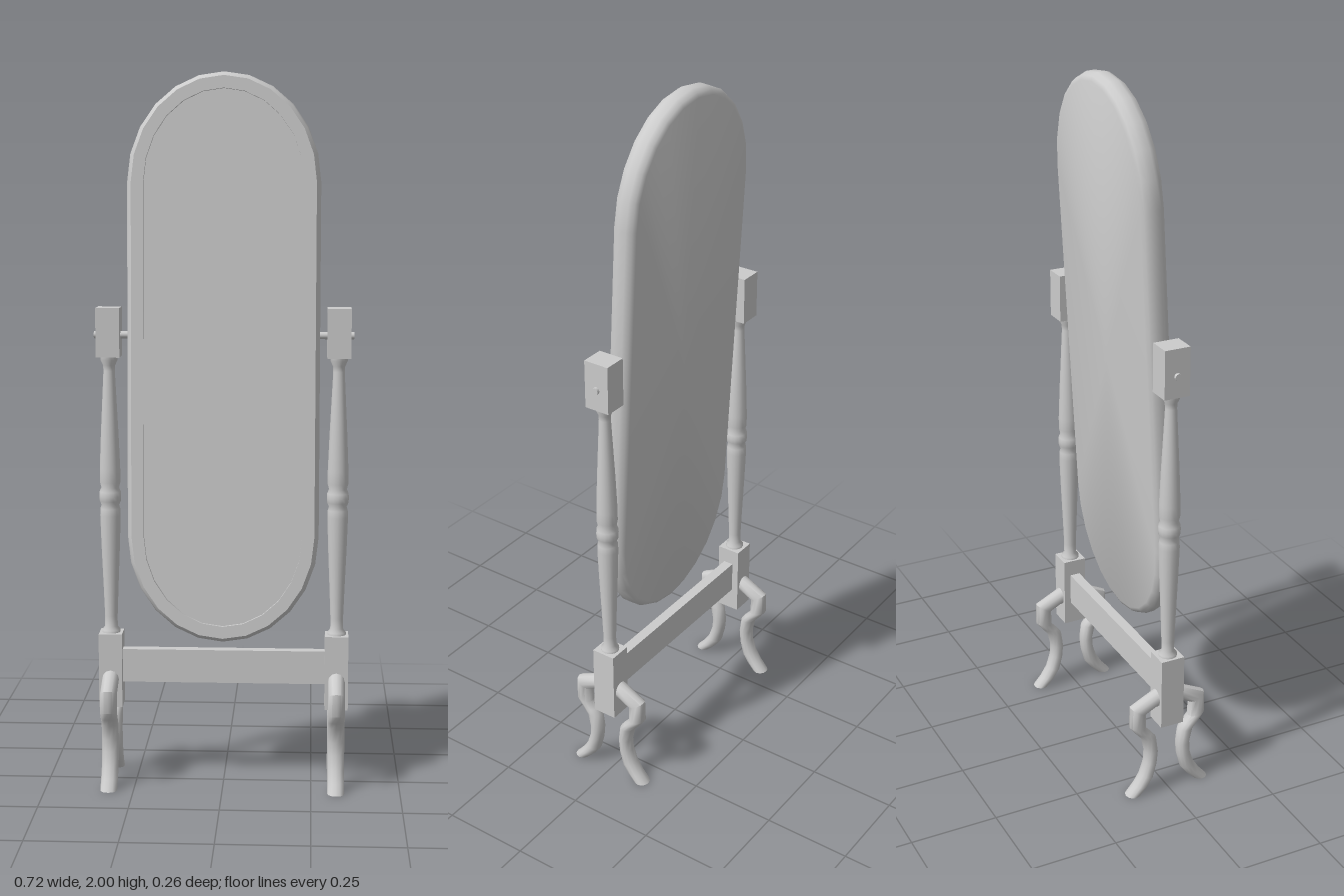
import * as THREE from 'three';
import { toCreasedNormals } from 'three/addons/utils/BufferGeometryUtils.js';

const material = new THREE.MeshStandardMaterial({ color: 0xcccccc });

function part(name, geometry, parent, x = 0, y = 0, z = 0) {
  const mesh = new THREE.Mesh(geometry, material);
  mesh.name = name;
  mesh.position.set(x, y, z);
  parent.add(mesh);
  return mesh;
}

// Skin a series of closed rings, with optional flat end caps
function loft(rings, capStart, capEnd, crease) {
  const n = rings[0].length;
  const pos = [];
  const tri = (...pts) => pts.forEach((p) => pos.push(p.x, p.y, p.z));
  const cap = (ring, flip) => {
    const c = new THREE.Vector3();
    ring.forEach((p) => c.addScaledVector(p, 1 / n));
    ring.forEach((p, i) => {
      const q = ring[(i + 1) % n];
      if (flip) tri(c, q, p);
      else tri(c, p, q);
    });
  };
  for (let r = 0; r < rings.length - 1; r++) {
    for (let i = 0; i < n; i++) {
      const j = (i + 1) % n;
      const a = rings[r], b = rings[r + 1];
      tri(a[i], a[j], b[j]);
      tri(a[i], b[j], b[i]);
    }
  }
  if (capStart) cap(rings[0], true);
  if (capEnd) cap(rings[rings.length - 1], false);
  const geometry = new THREE.BufferGeometry();
  geometry.setAttribute('position', new THREE.Float32BufferAttribute(pos, 3));
  return toCreasedNormals(geometry, crease);
}

// Long oval outline, drawn inward by an inset
function ovalOutline(inset) {
  const a = 0.267 - inset, b = 0.3 - inset, straight = 0.49, steps = 12;
  const pts = [];
  for (const side of [1, -1]) {
    for (let i = 0; i <= steps; i++) {
      const t = (i / steps) * Math.PI;
      pts.push(new THREE.Vector2(side * a * Math.cos(t), side * (straight + b * Math.sin(t))));
    }
  }
  return pts;
}

function createMirror() {
  const mirror = new THREE.Group();
  mirror.name = 'tiltingMirror';
  // Frame section as [inset, depth], from the back panel round to the glass rebate
  const section = [[0.02, -0.032], [0.008, -0.026], [0, -0.012], [0, 0.012], [0.004, 0.022], [0.012, 0.032], [0.046, 0.032], [0.046, 0.021]];
  const rings = section.map(([inset, z]) => ovalOutline(inset).map((p) => new THREE.Vector3(p.x, p.y, z)));
  part('mirrorFrame', loft(rings, true, false, 0.7), mirror);
  part('mirrorGlass', new THREE.ShapeGeometry(new THREE.Shape(ovalOutline(0.046))), mirror, 0, 0, 0.021);
  mirror.position.set(0, 1.21, 0.001);
  mirror.rotation.x = -0.054;
  return mirror;
}

// Curved leg: outer and inner edge points [z, y] down its length
function legGeometry() {
  const stations = [
    [0.02, 0.334, 0.02, 0.275],
    [0.04, 0.326, 0.04, 0.277],
    [0.115, 0.289, 0.07, 0.262],
    [0.117, 0.225, 0.068, 0.215],
    [0.098, 0.2, 0.05, 0.195],
    [0.08, 0.178, 0.037, 0.178],
    [0.07, 0.135, 0.031, 0.13],
    [0.072, 0.1, 0.035, 0.09],
    [0.085, 0.06, 0.046, 0.047],
    [0.105, 0.028, 0.064, 0.022],
    [0.129, 0, 0.085, 0],
  ];
  const rings = stations.map(([oz, oy, iz, iy]) => {
    const ring = [];
    for (let i = 0; i < 12; i++) {
      const t = (i / 12) * Math.PI * 2;
      const s = (Math.sin(t) + 1) / 2;
      ring.push(new THREE.Vector3(0.024 * Math.cos(t), iy + (oy - iy) * s, iz + (oz - iz) * s));
    }
    return ring;
  });
  return loft(rings, true, true, 0.8);
}

// Turned spindle between the two square blocks, as [radius, y]
function spindleGeometry() {
  const profile = [
    [0.026, 0.43], [0.026, 0.44], [0.018, 0.45], [0.018, 0.48], [0.021, 0.56], [0.026, 0.68], [0.029, 0.77],
    [0.028, 0.79], [0.025, 0.8], [0.03, 0.812], [0.031, 0.825], [0.03, 0.838], [0.025, 0.85],
    [0.029, 0.865], [0.029, 0.9], [0.025, 1.0], [0.02, 1.1], [0.016, 1.18], [0.017, 1.195], [0.024, 1.21], [0.024, 1.225],
  ];
  return new THREE.LatheGeometry(profile.map(([r, y]) => new THREE.Vector2(r, y)), 16);
}

export function createModel() {
  const model = new THREE.Group();
  model.name = 'chevalMirror';
  model.add(createMirror());

  const spindle = spindleGeometry();
  const leg = legGeometry();
  const pin = new THREE.CylinderGeometry(0.01, 0.01, 0.11, 12).rotateZ(Math.PI / 2);

  // Matching stand on each side
  for (const side of [1, -1]) {
    const stand = new THREE.Group();
    stand.name = side > 0 ? 'leftStand' : 'rightStand';
    stand.position.x = side * 0.32;
    part('topBlock', new THREE.BoxGeometry(0.066, 0.137, 0.074), stand, 0, 1.288);
    part('bottomBlock', new THREE.BoxGeometry(0.066, 0.212, 0.07), stand, 0, 0.327);
    part('spindle', spindle, stand);
    part('pivotPin', pin, stand, -side * 0.014, 1.28);
    part('frontLeg', leg, stand);
    part('backLeg', leg, stand).rotation.y = Math.PI;
    model.add(stand);
  }

  // Rail joining the stands
  part('stretcher', new THREE.BoxGeometry(0.59, 0.095, 0.03), model, 0, 0.338);
  return model;
}
